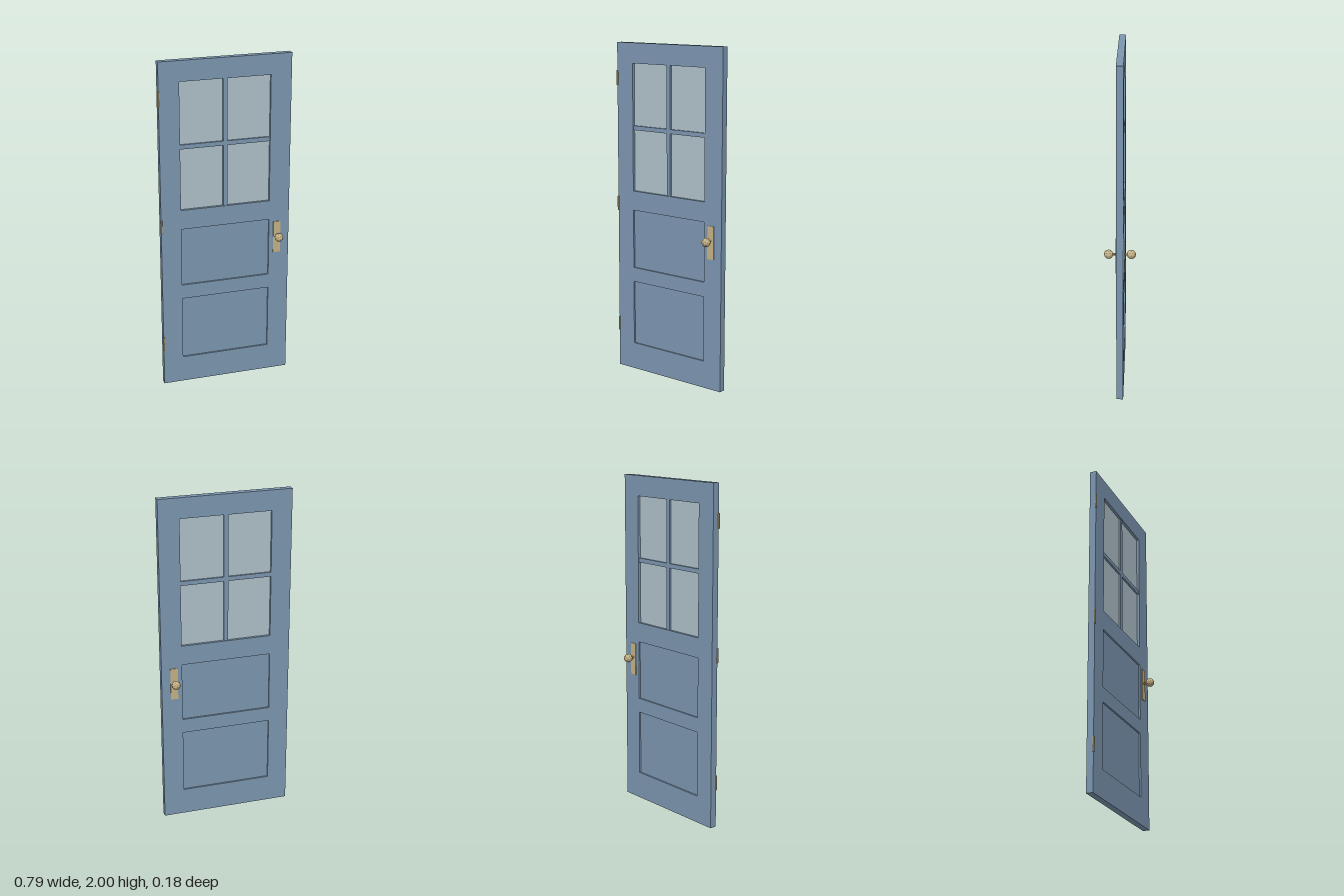
import * as THREE from 'three';

export function createModel() {
  const door = new THREE.Group();
  door.name = 'door';

  const material = (name, color) => {
    const m = new THREE.MeshStandardMaterial({ color, flatShading: true });
    m.name = name;
    return m;
  };
  const paint = material('blue paint', 0x7c96b0);
  const glass = material('pale glass', 0xafc1c9);
  const brass = material('brass', 0xc6b385);

  const add = (name, geometry, mat, x, y, z = 0) => {
    const mesh = new THREE.Mesh(geometry, mat);
    mesh.name = name;
    mesh.position.set(x, y, z);
    door.add(mesh);
    return mesh;
  };

  // Openings in the slab: [bottom, top]
  const side = 0.27;
  const windowSpan = [1.118, 1.88];
  const panelSpans = [[0.164, 0.556], [0.644, 1.0]];

  const rectangle = (target, x0, y0, x1, y1) => {
    target.moveTo(x0, y0);
    target.lineTo(x1, y0);
    target.lineTo(x1, y1);
    target.lineTo(x0, y1);
    target.closePath();
    return target;
  };

  // Stiles and rails as one slab with three openings
  const outline = rectangle(new THREE.Shape(), -0.39, 0, 0.394, 2);
  for (const [y0, y1] of [windowSpan, ...panelSpans]) {
    outline.holes.push(rectangle(new THREE.Path(), -side, y0, side, y1));
  }
  const slab = new THREE.ExtrudeGeometry(outline, { depth: 0.04, bevelEnabled: false });
  add('doorFrame', slab, paint, 0, 0, -0.02);

  // Recessed lower panels
  for (const [y0, y1] of panelSpans) {
    add('recessedPanel', new THREE.BoxGeometry(2 * side, y1 - y0, 0.02), paint, 0, (y0 + y1) / 2);
  }

  // Window pane and crossing glazing bars
  const windowHeight = windowSpan[1] - windowSpan[0];
  const windowY = (windowSpan[0] + windowSpan[1]) / 2;
  add('windowPane', new THREE.BoxGeometry(2 * side, windowHeight, 0.008), glass, 0, windowY);
  add('verticalBar', new THREE.BoxGeometry(0.026, windowHeight, 0.03), paint, 0, windowY);
  add('horizontalBar', new THREE.BoxGeometry(2 * side, 0.026, 0.03), paint, 0, windowY);

  // Lock plate, stem and faceted knob on each face
  const handleX = 0.319, handleY = 0.896;
  for (const s of [1, -1]) {
    add('lockPlate', new THREE.BoxGeometry(0.044, 0.196, 0.005), brass, handleX, 0.885, s * 0.0222);
    add('knobStem', new THREE.CylinderGeometry(0.0065, 0.0065, 0.045, 8), brass, handleX, handleY, s * 0.042)
      .rotation.x = Math.PI / 2;
    add('knob', new THREE.IcosahedronGeometry(0.0265, 1), brass, handleX, handleY, s * 0.0645);
  }

  // Hinge barrels along the front left edge
  for (const y of [0.27, 1.03, 1.79]) {
    add('hinge', new THREE.CylinderGeometry(0.006, 0.006, 0.087, 8), brass, -0.389, y, 0.021);
  }

  return door;
}
